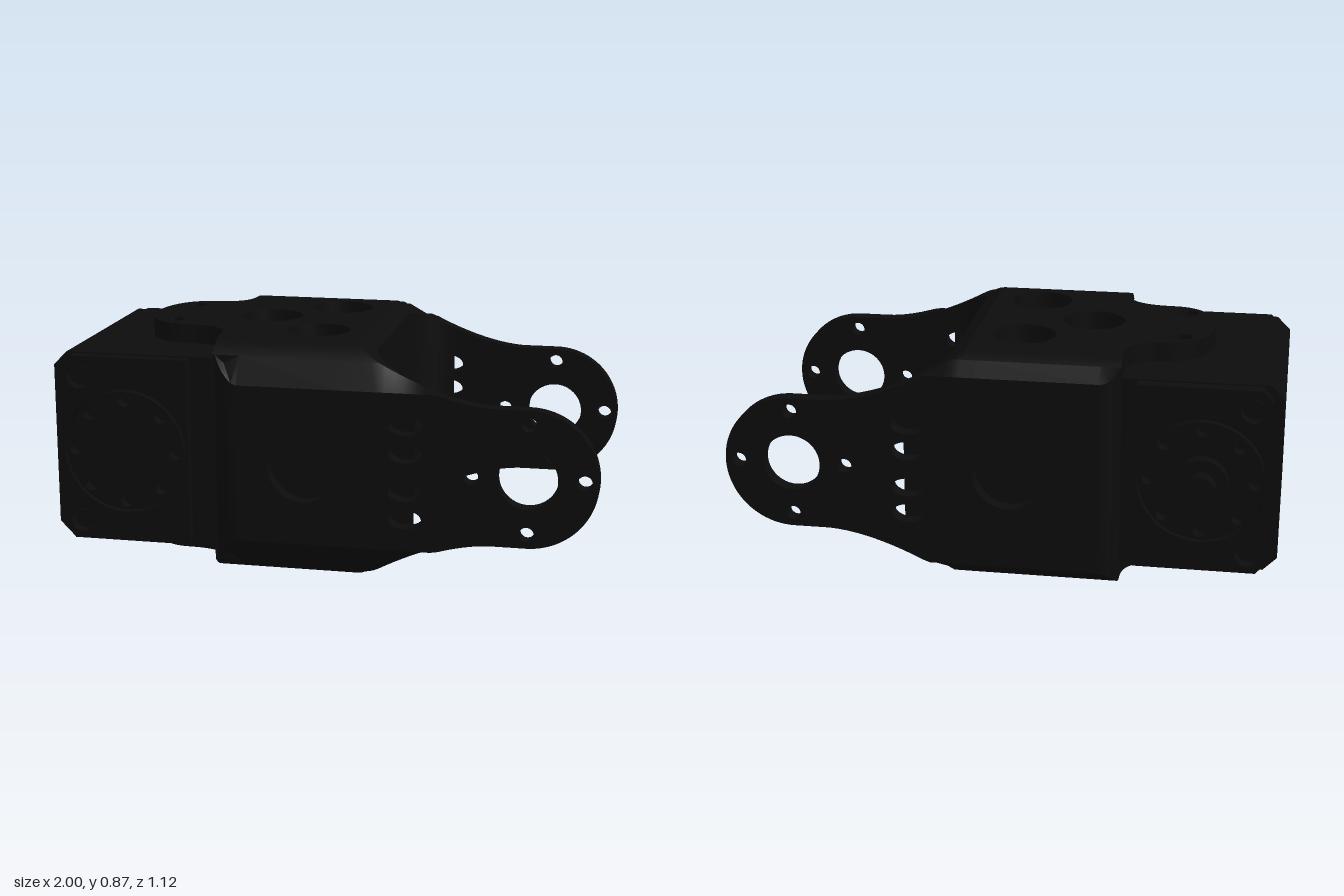
import * as THREE from 'three';
import { toCreasedNormals } from 'three/addons/utils/BufferGeometryUtils.js';

const MID = 0.4325; // height of the axis of symmetry
const material = new THREE.MeshStandardMaterial({ color: 0x0c0c0c });

// Half height of the bracket along x, and of its rounded corners across z
const profile = x => x < 0.13 ? MID : 0.247 + 0.185 * Math.pow(Math.max(0, 1 - (x - 0.13) / 0.5), 1.7);
const corner = z => {
  const d = Math.max(z - 0.37, -0.36 - z, 0);
  return 0.2425 + Math.sqrt(Math.max(0, 0.0361 - d * d));
};

function circle(x, y, r, ry = r) {
  return new THREE.Path().absellipse(x, y, r, ry, 0, Math.PI * 2, false, 0);
}

function extrude(shape, depth) {
  return new THREE.ExtrudeGeometry(shape, { depth, bevelEnabled: false, curveSegments: 24 });
}

// Trim a geometry to the rounded long edges of the bracket
function trim(geo) {
  const p = geo.attributes.position;
  for (let i = 0; i < p.count; i++) {
    const c = corner(p.getZ(i));
    p.setY(i, MID + THREE.MathUtils.clamp(p.getY(i) - MID, -c, c));
  }
  return geo;
}

// Solid whose height follows the bracket; range(x) gives its z extent
function loft(xs, range) {
  const n = 20, rings = xs.map(x => {
    const [a, b] = range(x), top = [], bottom = [];
    for (let i = 0; i <= n; i++) {
      // cosine spacing puts more points on the rounded corners
      const z = a + (b - a) * (1 - Math.cos(Math.PI * i / n)) / 2;
      const h = Math.min(profile(x), corner(z));
      top.push([x, MID + h, z]);
      bottom.unshift([x, MID - h, z]);
    }
    return [...top, ...bottom];
  });
  const v = [], m = rings[0].length, last = rings[rings.length - 1];
  for (let i = 0; i < rings.length - 1; i++) for (let j = 0; j < m; j++) {
    const k = (j + 1) % m, A = rings[i], B = rings[i + 1];
    v.push(...A[j], ...A[k], ...B[k], ...A[j], ...B[k], ...B[j]);
  }
  for (let j = 1; j < m - 1; j++) {
    v.push(...last[0], ...last[j], ...last[j + 1]);
    v.push(...rings[0][0], ...rings[0][j + 1], ...rings[0][j]);
  }
  const geo = new THREE.BufferGeometry();
  geo.setAttribute('position', new THREE.Float32BufferAttribute(v, 3));
  return geo;
}

export function createModel() {
  const model = new THREE.Group();
  const bracket = new THREE.Group(), servo = new THREE.Group();
  bracket.name = 'bracket';
  servo.name = 'servo';
  model.add(bracket, servo);
  const add = (parent, name, geo) => {
    const mesh = new THREE.Mesh(toCreasedNormals(geo, 0.5), material);
    mesh.name = name;
    parent.add(mesh);
    return mesh;
  };

  // Side plates with fork arms, bolt holes and openings
  const sides = [
    { name: 'front', inner: 0.5, outer: 0.555, start: -0.38, lip: 0.1, s: 1 },
    { name: 'back', inner: -0.455, outer: -0.51, start: -0.43, lip: 0.07, s: -1 },
  ];
  for (const { name, inner, outer, start, lip, s } of sides) {
    const plate = new THREE.Shape(), upper = [];
    for (let i = 0; i <= 24; i++) {
      const x = 0.08 + (0.755 - 0.08) * i / 24;
      upper.push([x, profile(x)]);
    }
    plate.moveTo(start + lip, MID - MID).lineTo(0.08, 0);
    upper.forEach(([x, h]) => plate.lineTo(x, MID - h));
    plate.absarc(0.755, MID, 0.247, -Math.PI / 2, Math.PI / 2, false);
    upper.reverse().forEach(([x, h]) => plate.lineTo(x, MID + h));
    plate.lineTo(start + lip, MID * 2);
    plate.holes.push(circle(0.755, MID, 0.105), circle(-0.04, MID, 0.13));
    for (let i = 0; i < 4; i++) {
      const a = i * Math.PI / 2;
      plate.holes.push(circle(0.755 + 0.197 * Math.cos(a), MID + 0.197 * Math.sin(a), 0.026));
    }
    for (const dy of [-0.17, -0.07, 0.07, 0.17]) plate.holes.push(circle(0.325, MID + dy, 0.06, 0.035));
    add(bracket, name + 'SidePlate',
      trim(extrude(plate, 0.055).translate(0, 0, Math.min(inner, outer))));

    // Rounded leading edge of the side plate
    const edge = new THREE.Shape(), e = start + lip;
    edge.moveTo(e, inner);
    edge.lineTo(e, outer);
    for (let i = 1; i <= 8; i++) {
      const a = Math.PI / 2 * i / 8;
      edge.lineTo(e - lip * Math.sin(a), outer - s * lip * (1 - Math.cos(a)));
    }
    edge.lineTo(start, inner - s * 0.06);
    edge.lineTo(e, inner - s * 0.06);
    add(bracket, name + 'LeadingEdge', trim(extrude(edge, 0.9).rotateX(Math.PI / 2).translate(0, 0.88, 0)));

    // Rounded long edges above and below
    const flat = s > 0 ? 0.37 : -0.36;
    for (const up of [1, -1]) {
      const strip = new THREE.Shape(), arc = [];
      for (let i = 0; i <= 8; i++) arc.push(flat + (inner - flat) * i / 8);
      strip.moveTo(-flat, MID + up * (MID - 0.06));
      arc.forEach(z => strip.lineTo(-z, MID + up * corner(z)));
      strip.lineTo(-inner, MID + up * (corner(inner) - 0.07));
      add(bracket, name + (up > 0 ? 'TopEdge' : 'BottomEdge'),
        extrude(strip, 0.13 - start).rotateY(Math.PI / 2).translate(start, 0, 0));
    }

    // Fillet between the web and the arm
    const xs = [];
    for (let i = 0; i <= 12; i++) xs.push(0.35 - 0.16 * Math.cos(Math.PI / 2 * i / 12));
    add(bracket, name + 'Fillet', loft(xs, x => {
      const z = inner - s * (0.16 - Math.sqrt(Math.max(0, 0.0256 - (0.35 - x) ** 2)) + 0.0005);
      return s > 0 ? [z, inner] : [inner, z];
    }));
  }

  // Cross web closing the fork
  add(bracket, 'web', loft([0.13, 0.15, 0.17, 0.19], () => [-0.455, 0.5]));

  // Top and bottom plates with rounded tab and lightening holes
  const cover = new THREE.Shape();
  cover.moveTo(0.13, -0.36);
  cover.lineTo(-0.43, -0.36);
  cover.quadraticCurveTo(-0.43, -0.23, -0.56, -0.225);
  cover.bezierCurveTo(-0.68, -0.22, -0.73, -0.1, -0.73, 0.01);
  cover.bezierCurveTo(-0.73, 0.12, -0.68, 0.24, -0.56, 0.24);
  cover.quadraticCurveTo(-0.38, 0.24, -0.38, 0.37);
  cover.lineTo(0.13, 0.37);
  cover.holes.push(circle(-0.05, -0.2, 0.115), circle(-0.05, 0.24, 0.115), circle(-0.28, 0.01, 0.115));
  for (const z of [-0.14, 0.16]) cover.holes.push(circle(-0.62, z, 0.035));
  for (const [name, y] of [['topPlate', MID * 2], ['bottomPlate', 0.07]]) {
    add(bracket, name, extrude(cover, 0.07).rotateX(Math.PI / 2).translate(0, y, 0));
  }

  // Servo case with chamfered end
  const body = new THREE.Shape();
  [[-1, 0.135], [-0.95, 0.085], [0.12, 0.085], [0.12, 0.785], [-0.95, 0.785], [-1, 0.735]]
    .forEach(([x, y], i) => i ? body.lineTo(x, y) : body.moveTo(x, y));
  add(servo, 'servoCase', extrude(body, 0.835).translate(0, 0, -0.405));

  // End caps with corner screws, each holding a drilled horn
  for (const [name, z, depth] of [['front', 0.43, 0.045], ['back', -0.455, 0.05]]) {
    const cap = new THREE.Shape();
    [[-0.96, 0.13], [-0.925, 0.09], [-0.485, 0.09], [-0.485, 0.78], [-0.925, 0.78], [-0.96, 0.74]]
      .forEach(([x, y], i) => i ? cap.lineTo(x, y) : cap.moveTo(x, y));
    cap.holes.push(circle(-0.722, MID, 0.232));
    for (const y of [0.16, 0.705]) cap.holes.push(circle(-0.895, y, 0.045));
    add(servo, name + 'Cap', extrude(cap, depth).translate(0, 0, z));

    const horn = new THREE.Shape();
    horn.absarc(-0.722, MID, 0.222, 0, Math.PI * 2);
    for (let i = 0; i < 8; i++) {
      const a = i * Math.PI / 4;
      horn.holes.push(circle(-0.722 + 0.19 * Math.cos(a), MID + 0.19 * Math.sin(a), 0.024));
    }
    add(servo, name + 'Horn', extrude(horn, depth).translate(0, 0, z));
    for (const y of [0.16, 0.705]) {
      add(servo, name + 'Screw', new THREE.CylinderGeometry(0.035, 0.035, 0.03, 20)
        .rotateX(Math.PI / 2).translate(-0.895, y, z > 0 ? z + 0.012 : z + depth - 0.012));
    }
  }

  // Stepped shaft at the back
  for (const [name, r, end] of [['shaftCollar', 0.097, -0.5], ['shaft', 0.054, -0.56]]) {
    const length = -0.44 - end;
    add(servo, name, new THREE.CylinderGeometry(r, r, length, 32)
      .rotateX(Math.PI / 2).translate(-0.722, MID, end + length / 2));
  }
  return model;
}
